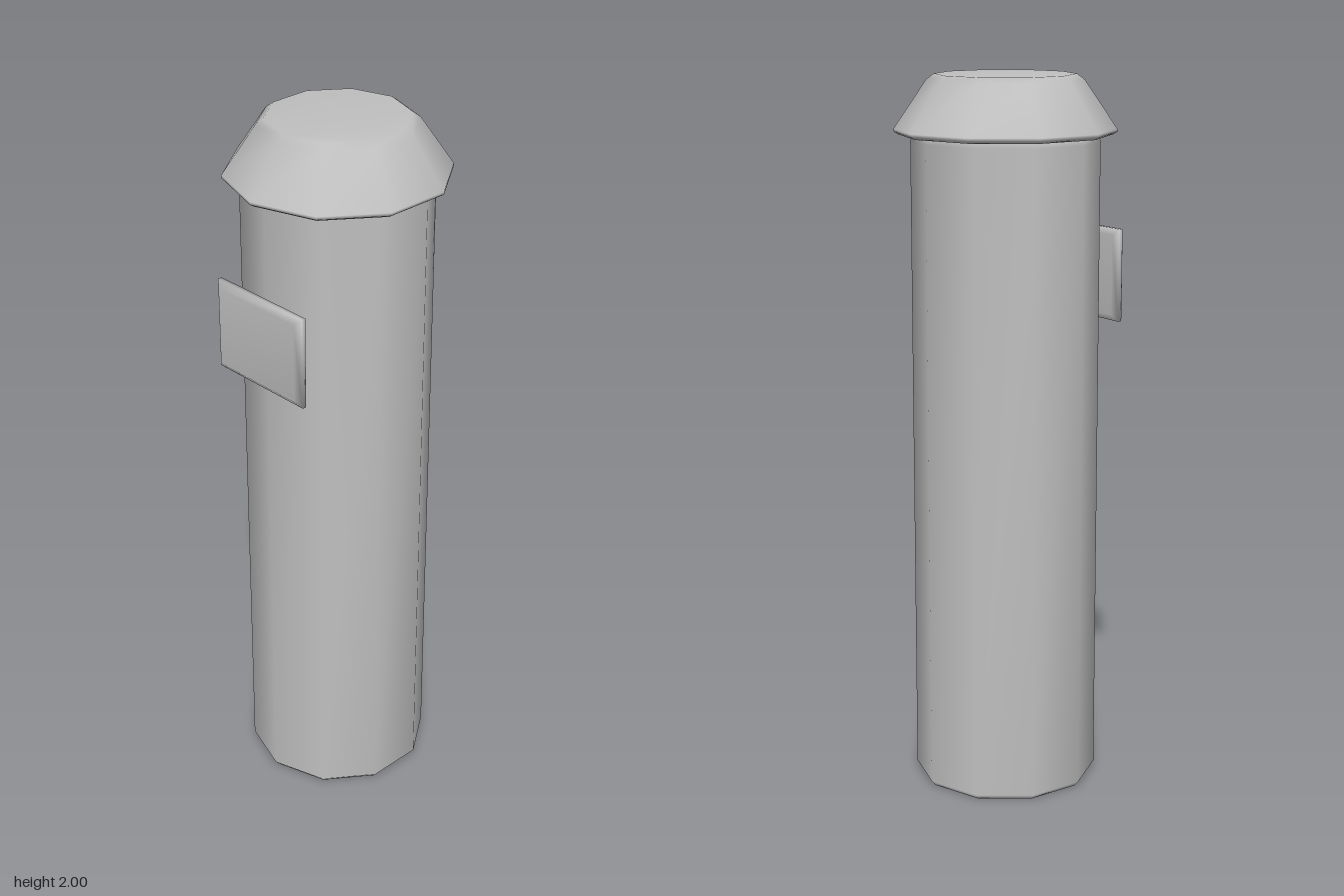
import * as THREE from 'three';

// Skin a stack of matching point rings and close both ends, with shared smooth normals.
function loft(rings) {
  const n = rings[0].length, last = (rings.length - 1) * n, index = [];
  for (let i = 0; i < rings.length - 1; i++) {
    for (let j = 0; j < n; j++) {
      const a = i * n + j, b = i * n + (j + 1) % n;
      index.push(a, b, b + n, a, b + n, a + n);
    }
  }
  for (let j = 1; j < n - 1; j++) {
    index.push(0, j + 1, j, last, last + j, last + j + 1);
  }
  const geometry = new THREE.BufferGeometry();
  geometry.setAttribute('position', new THREE.Float32BufferAttribute(rings.flat(2), 3));
  geometry.setIndex(index);
  geometry.computeVertexNormals();
  return geometry;
}

// Horizontal ten-sided ring with a corner facing forward.
function decagon([radius, y]) {
  return Array.from({ length: 10 }, (_, i) => {
    const t = i * Math.PI / 5;
    return [radius * Math.sin(t), y, radius * Math.cos(t)];
  });
}

// Upright rectangular ring for the front plate.
function rectangle([w, h, z]) {
  const y = 1.447;
  return [[-w, y - h, z], [w, y - h, z], [w, y + h, z], [-w, y + h, z]];
}

export function createModel() {
  const group = new THREE.Group();
  const grey = new THREE.MeshStandardMaterial({ color: 0xc0c0c0 });
  grey.name = 'grey';

  const add = (name, rings) => {
    const mesh = new THREE.Mesh(loft(rings), grey);
    mesh.name = name;
    group.add(mesh);
  };

  // Post with small bevels at the foot and the neck
  add('post', [[0.245, 0], [0.258, 0.015], [0.258, 1.822], [0.24, 1.842]].map(decagon));

  // Overhanging tapered cap
  add('cap', [[0.292, 1.838], [0.303, 1.845], [0.303, 1.853], [0.213, 1.985], [0.192, 2]].map(decagon));

  // Bevelled plate on the front
  add('frontPlate', [[0.145, 0.112, 0.258], [0.162, 0.129, 0.269], [0.162, 0.129, 0.281], [0.145, 0.112, 0.295]].map(rectangle));

  return group;
}
